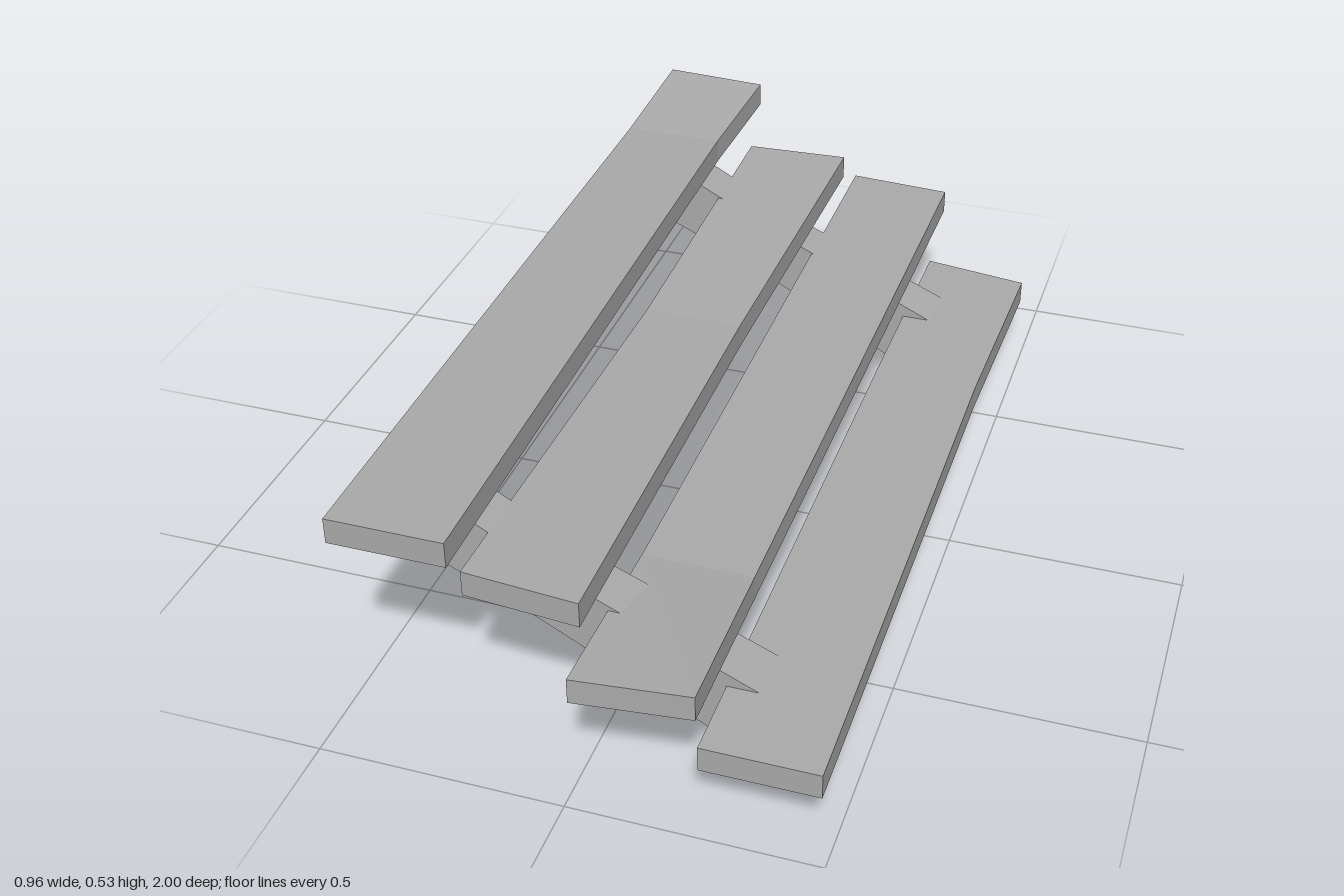
import * as THREE from 'three';

// Lofts a closed bar through four-cornered sections (counter-clockwise seen from the first end)
function loft(sections) {
  const pos = [];
  const quad = (a, b, c, d) => pos.push(...a, ...b, ...c, ...a, ...c, ...d);
  quad(...sections[0]);
  for (let i = 0; i < sections.length - 1; i++) {
    const s = sections[i], t = sections[i + 1];
    for (let j = 0; j < 4; j++) {
      const k = (j + 1) % 4;
      quad(s[j], t[j], t[k], s[k]);
    }
  }
  quad(...[...sections[sections.length - 1]].reverse());
  const geo = new THREE.BufferGeometry();
  geo.setAttribute('position', new THREE.Float32BufferAttribute(pos, 3));
  geo.computeVertexNormals();
  return geo;
}

const THICK = 0.054;

// Plank section: left and right edge x, z and underside y
const plankSection = ([x0, x1, z0, z1, y0, y1 = y0]) => [
  [x0, y0, z0], [x1, y1, z1], [x1, y1 + THICK, z1], [x0, y0 + THICK, z0],
];

// Stringer section: underside x,y, top x,y, front and back z, shortening of the back corners
const stringerSection = ([bx, by, tx, ty, zf, zb, sx = 0, sy = 0]) => [
  [bx, by, zf], [bx - sx, by + sy, zb], [tx - sx, ty + sy, zb], [tx, ty, zf],
];

export function createModel() {
  const group = new THREE.Group();
  const wood = new THREE.MeshStandardMaterial({ color: 0xaaaaaa });
  wood.name = 'grey wood';
  const add = (name, sections) => {
    const mesh = new THREE.Mesh(loft(sections), wood);
    mesh.name = name;
    group.add(mesh);
  };

  // Warped treads, highest first, each from front to back
  const treads = [
    [[-0.46, -0.224, 0.945, 0.945, 0.466], [-0.481, -0.258, -0.71, -0.71, 0.452], [-0.472, -0.235, -1, -0.983, 0.48]],
    [[-0.222, 0.014, 0.897, 0.916, 0.367], [-0.222, -0.008, -0.1, -0.1, 0.34], [-0.222, 0.012, -0.868, -0.88, 0.367]],
    [[0.016, 0.248, 0.995, 0.97, 0.257], [0.008, 0.236, 0.58, 0.58, 0.224], [0.013, 0.248, -1, -0.983, 0.257]],
    [[0.243, 0.477, 0.948, 0.948, 0.117], [0.24, 0.47, -0.35, -0.35, 0.117], [0.243, 0.479, -0.87, -0.85, 0.121, 0.111]],
  ];
  treads.forEach((t, i) => add('tread' + (i + 1), t.map(plankSection)));

  // Slightly bent stringers under the treads, from the low end to the high end
  add('frontStringer', [
    [0.305, 0.006, 0.375, 0.14, 0.775, 0.665, 0.045, 0.024],
    [-0.13, 0.24, -0.06, 0.337, 0.775, 0.674],
    [-0.432, 0.371, -0.38, 0.495, 0.765, 0.655],
  ].map(stringerSection));
  add('backStringer', [
    [0.31, 0.001, 0.38, 0.138, -0.597, -0.705, 0.045, 0.026],
    [-0.13, 0.24, -0.06, 0.337, -0.6, -0.7],
    [-0.43, 0.371, -0.38, 0.495, -0.605, -0.715],
  ].map(stringerSection));

  return group;
}
